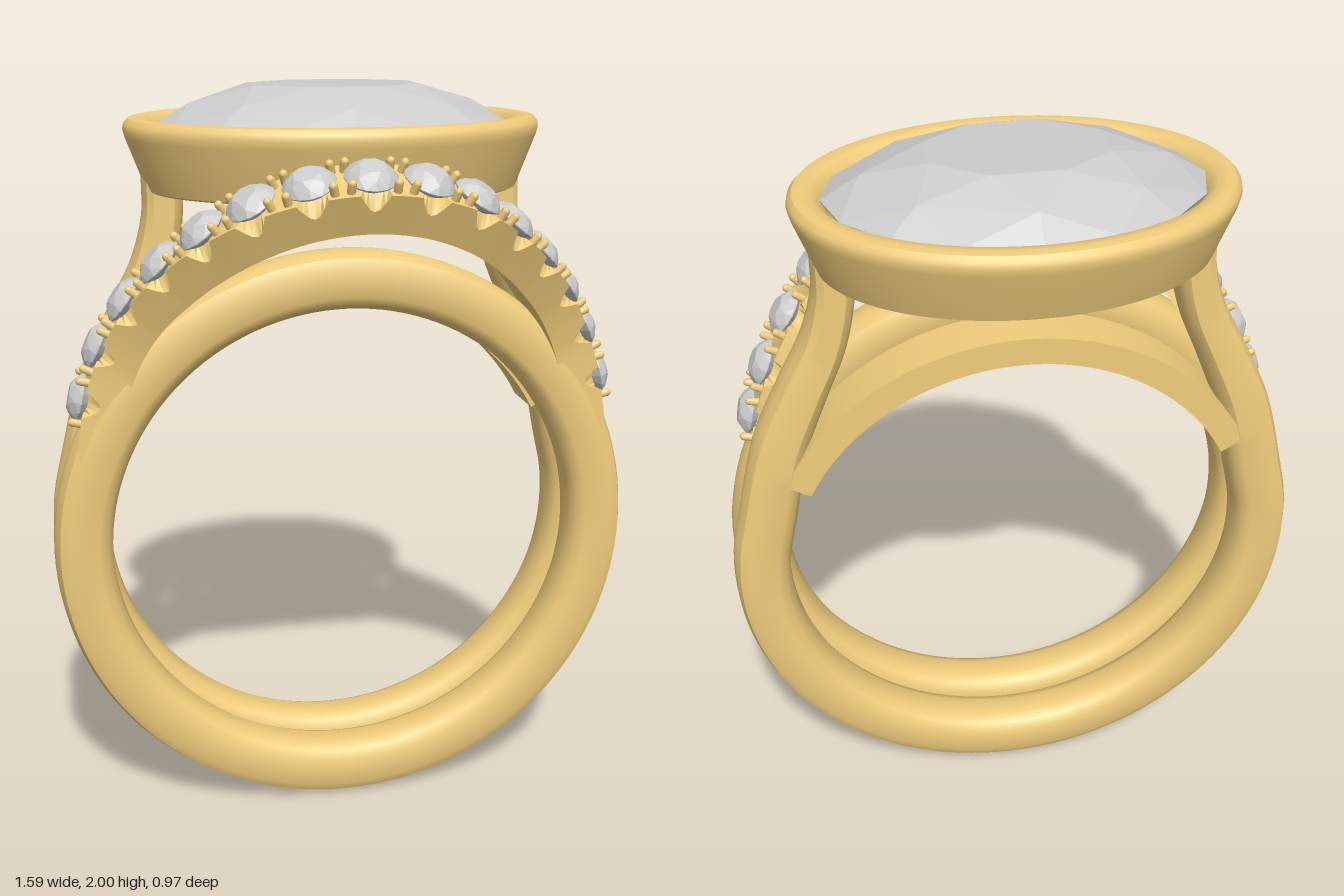
import * as THREE from 'three';
import { toCreasedNormals } from 'three/addons/utils/BufferGeometryUtils.js';
import { ConvexGeometry } from 'three/addons/geometries/ConvexGeometry.js';

const gold = new THREE.MeshStandardMaterial({ color: 0xf0cd7c });
const stone = new THREE.MeshStandardMaterial({ color: 0xcccccc, flatShading: true });
const V = (x, y, z) => new THREE.Vector3(x, y, z);
const CY = 0.797; // height of the finger hole's centre

function add(parent, name, geometry, material) {
  const mesh = new THREE.Mesh(geometry, material);
  mesh.name = name;
  parent.add(mesh);
  return mesh;
}

// Frame on a curve: position p, tangent t, outward normal n, sideways b
function frameAt(curve, u, normalAt) {
  const p = curve.getPointAt(u), t = curve.getTangentAt(u);
  const n = normalAt(p, t);
  n.addScaledVector(t, -n.dot(t)).normalize();
  return { p, t, n, b: t.clone().cross(n) };
}

// Sweep a closed [normal, sideways] profile along a curve, with capped ends
function sweep(curve, steps, normalAt, profileAt) {
  const pos = [], index = [];
  let k = 0;
  for (let i = 0; i <= steps; i++) {
    const u = i / steps, { p, n, b } = frameAt(curve, u, normalAt);
    const profile = profileAt(u);
    k = profile.length;
    for (const [h, w] of profile) {
      const q = p.clone().addScaledVector(n, h).addScaledVector(b, w);
      pos.push(q.x, q.y, q.z);
    }
  }
  for (let i = 0; i < steps; i++) for (let j = 0; j < k; j++) {
    const a = i * k + j, b = i * k + (j + 1) % k;
    index.push(a, b, a + k, b, b + k, a + k);
  }
  const e = steps * k;
  for (let j = 1; j < k - 1; j++) index.push(0, j + 1, j, e, e + j, e + j + 1);
  const g = new THREE.BufferGeometry();
  g.setAttribute('position', new THREE.Float32BufferAttribute(pos, 3));
  g.setIndex(index);
  return toCreasedNormals(g, 0.6);
}

// Faceted gem of girdle radius 1: crown and pavilion heights given
function gemGeometry(crown, pavilion) {
  const pts = [V(0, -pavilion, 0)];
  const ring = (count, r, y, turn) => {
    for (let i = 0; i < count; i++) {
      const a = (i + turn) / count * Math.PI * 2;
      pts.push(V(Math.cos(a) * r, y, Math.sin(a) * r));
    }
  };
  ring(8, 0.5, crown, 0.5);
  ring(8, 0.8, crown * 0.55, 0);
  ring(16, 1, 0, 0);
  ring(16, 0.99, -crown * 0.1, 0);
  return new ConvexGeometry(pts);
}

// Rounded band section: offsets from the middle radius, then half width
const half = [[0.037, 0.075], [0.062, 0.062], [0.074, 0.035], [0.078, 0]];
const bandProfile = [
  ...half.map(([r, w]) => [r, -w]),
  ...half.slice(0, 3).reverse(),
  [-0.04, 0.075], [-0.063, 0.06], [-0.077, 0.03],
  [-0.077, -0.03], [-0.063, -0.06], [-0.04, -0.075],
];
const planar = (p, t) => V(-t.y, t.x, 0);

function createFrontRing(group) {
  const pts = bandProfile.map(([r, w]) => new THREE.Vector2(0.718 + r, w));
  pts.push(pts[0].clone());
  const g = new THREE.LatheGeometry(pts, 128).rotateX(Math.PI / 2);
  add(group, 'frontRing', toCreasedNormals(g, 0.6), gold).position.set(0, CY, 0.113);
}

function createBackRing(group) {
  // Shank rising at both sides into the arms that hold the bezel
  const arm = [[0.46, 1.77], [0.463, 1.66], [0.495, 1.53], [0.56, 1.39], [0.63, 1.23]];
  const path = arm.map(([x, y]) => V(x, y, 0));
  for (let d = 18; d >= -198; d -= 12) {
    const a = THREE.MathUtils.degToRad(d);
    path.push(V(Math.cos(a) * 0.718, CY + Math.sin(a) * 0.718, 0));
  }
  arm.reverse().forEach(([x, y]) => path.push(V(-x, y, 0)));
  const shank = sweep(new THREE.CatmullRomCurve3(path), 180, planar, u => {
    const s = THREE.MathUtils.lerp(0.68, 1, THREE.MathUtils.smoothstep(Math.min(u, 1 - u), 0, 0.2));
    return bandProfile.map(([r, w]) => [r * s, w]);
  });
  add(group, 'backShank', shank, gold).position.z = -0.067;

  // Flat arch closing the finger hole between the arms
  const arc = [];
  for (let d = 152; d >= 28; d -= 4) {
    const a = THREE.MathUtils.degToRad(d);
    arc.push(V(Math.cos(a) * 0.68, CY + Math.sin(a) * 0.68, 0));
  }
  const arch = sweep(new THREE.CatmullRomCurve3(arc), 64, planar,
    () => [[0.035, -0.074], [0.035, 0.074], [-0.04, 0.074], [-0.04, -0.074]]);
  add(group, 'backArch', arch, gold).position.z = -0.067;
}

function createBezel(group) {
  const pts = [[0.42, 1.73], [0.49, 1.73], [0.5, 1.735], [0.55, 1.87], [0.555, 1.89], [0.552, 1.905],
    [0.54, 1.917], [0.52, 1.92], [0.495, 1.917], [0.475, 1.9], [0.46, 1.87], [0.42, 1.73]];
  const g = new THREE.LatheGeometry(pts.map(([x, y]) => new THREE.Vector2(x, y)), 96);
  // Squash to an oval while keeping the wall thickness even
  const p = g.attributes.position;
  for (let i = 0; i < p.count; i++) {
    const r = Math.hypot(p.getX(i), p.getZ(i));
    p.setZ(i, p.getZ(i) * (r - 0.13) / r);
  }
  add(group, 'bezel', toCreasedNormals(g, 0.6), gold).position.z = -0.067;

  const gem = add(group, 'centreStone', gemGeometry(0.1, 0.31), stone);
  gem.scale.set(0.475, 1, 0.345);
  gem.position.set(0, 1.9, -0.067);
}

function createStoneBand(group) {
  const side = [[0.155, 1.797, 0.398], [0.285, 1.75, 0.355], [0.4, 1.677, 0.287], [0.495, 1.592, 0.22],
    [0.58, 1.493, 0.16], [0.65, 1.375, 0.122], [0.7, 1.245, 0.112], [0.73, 1.08, 0.112]];
  const path = [
    ...side.map(([x, y, z]) => V(-x, y, z)).reverse(),
    V(0, 1.815, 0.412),
    ...side.map(([x, y, z]) => V(x, y, z)),
  ];
  const curve = new THREE.CatmullRomCurve3(path);
  // Faces away from the finger, leaning forward towards the middle
  const lean = p => {
    const n = V(p.x, p.y - CY, 0).normalize();
    n.z = 1.5 * (p.z - 0.112);
    return n;
  };
  const cells = 16;

  // Body with scalloped edges below each stone
  const body = sweep(curve, cells * 12, lean, u => {
    const dip = u > 0.75 / cells && u < 1 - 0.75 / cells ? Math.max(0, Math.cos(u * cells * Math.PI * 2)) : 0;
    const top = -0.008 - 0.045 * dip;
    return [[top, -0.072], [-0.012, -0.035], [-0.012, 0.035], [top, 0.072], [-0.115, 0.072], [-0.115, -0.072]];
  });
  add(group, 'stoneBand', body, gold);

  const gem = gemGeometry(0.45, 0.75);
  const prong = new THREE.CapsuleGeometry(0.011, 0.03, 3, 8);
  const place = (mesh, f, along, across, up) => {
    mesh.quaternion.setFromRotationMatrix(new THREE.Matrix4().makeBasis(f.t, f.n, f.b));
    mesh.position.copy(f.p).addScaledVector(f.t, along).addScaledVector(f.b, across).addScaledVector(f.n, up);
  };
  for (let i = 1; i < cells; i++) {
    const f = frameAt(curve, i / cells, lean);
    const s = add(group, 'smallStone', gem, stone);
    s.scale.setScalar(0.067);
    place(s, f, 0, 0, 0);
    // Four prongs around each stone
    for (const a of [-1, 1]) for (const c of [-1, 1]) {
      place(add(group, 'prong', prong, gold), f, a * 0.056, c * 0.05, -0.004);
    }
  }
}

export function createModel() {
  const group = new THREE.Group();
  group.name = 'ring';
  createFrontRing(group);
  createBackRing(group);
  createBezel(group);
  createStoneBand(group);
  return group;
}
